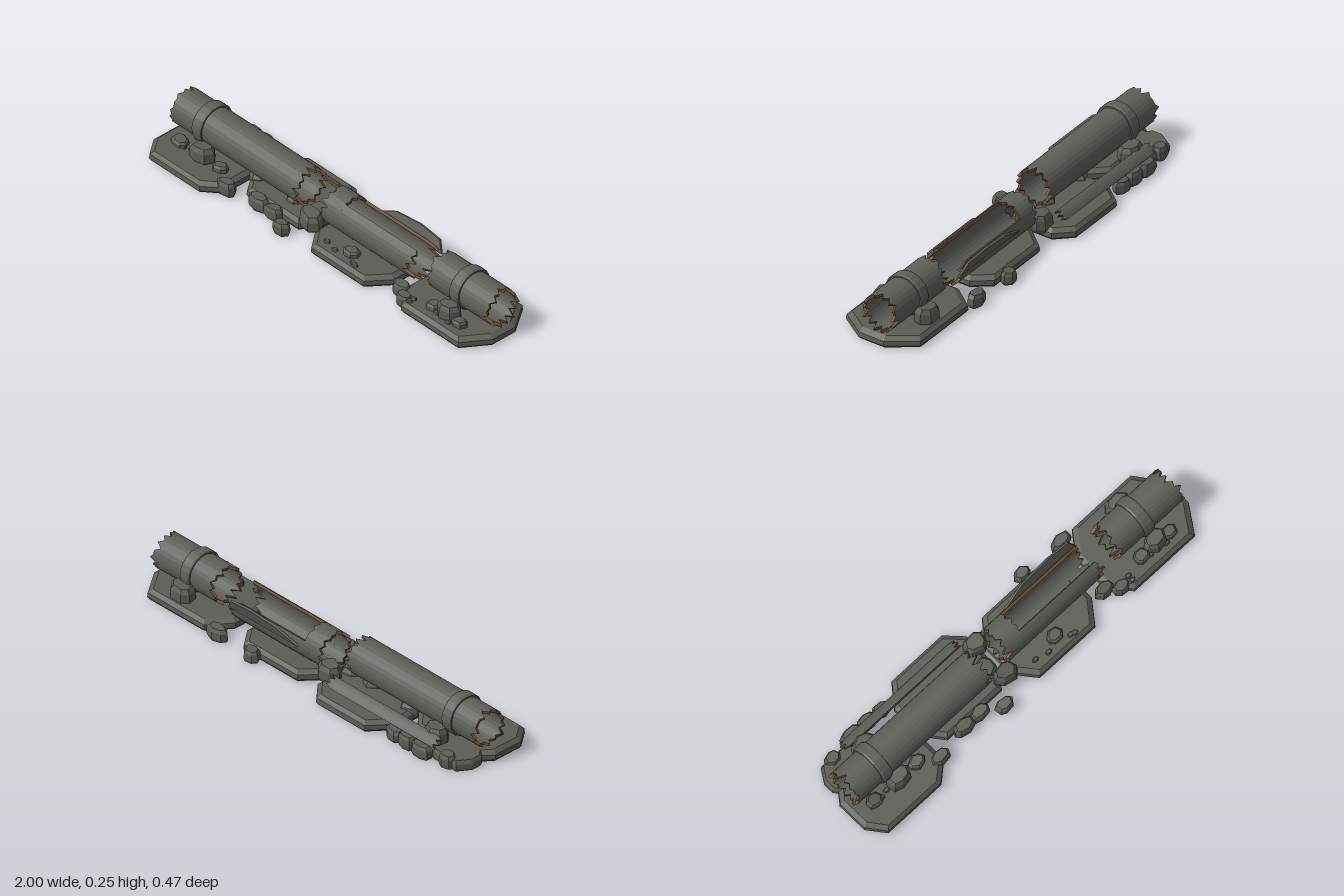
import * as THREE from 'three';

const stone = new THREE.MeshStandardMaterial({ color: 0x5a5e56, flatShading: true });
stone.name = 'greyStone';
const metal = new THREE.MeshStandardMaterial({ color: 0x5c6058, flatShading: true });
metal.name = 'greyMetal';
const rust = new THREE.MeshStandardMaterial({ color: 0x70492e, flatShading: true });
rust.name = 'rustBrown';

let seed = 7;
const rand = () => (seed = (seed * 16807) % 2147483647) / 2147483647;

function meshFrom(pos, material, name) {
  const g = new THREE.BufferGeometry();
  g.setAttribute('position', new THREE.Float32BufferAttribute(pos, 3));
  g.computeVertexNormals();
  const m = new THREE.Mesh(g, material);
  m.name = name;
  return m;
}
const quad = (out, a, b, c, d) => out.push(...a, ...b, ...c, ...a, ...c, ...d);

// Bevelled block: an outline of [x, z] points lofted through [y, scale] levels
function block(name, outline, levels, tilt = 0) {
  const n = outline.length, out = [];
  const cx = outline.reduce((s, p) => s + p[0], 0) / n;
  const cz = outline.reduce((s, p) => s + p[1], 0) / n;
  const rings = levels.map(([y, s], k) => outline.map(([x, z]) => [
    cx + (x - cx) * s, y + (k ? tilt * (x - cx + z - cz) : 0), cz + (z - cz) * s]));
  const top = rings.length - 1;
  for (let i = 0; i < n; i++) {
    const j = (i + 1) % n;
    for (let k = 0; k < top; k++) quad(out, rings[k][i], rings[k + 1][i], rings[k + 1][j], rings[k][j]);
    out.push(cx, levels[top][0], cz, ...rings[top][j], ...rings[top][i]);
    out.push(cx, levels[0][0], cz, ...rings[0][i], ...rings[0][j]);
  }
  return meshFrom(out, stone, name);
}

// Foundation slab: rectangle with unevenly cut corners
function slab(x0, x1, z0, z1, cut) {
  const outline = [];
  for (const [x, z, sx, sz] of [[x1, z1, -1, -1], [x0, z1, 1, -1], [x0, z0, 1, 1], [x1, z0, -1, 1]]) {
    const a = [x, z + sz * cut * (0.9 + rand() * 0.4)];
    const b = [x + sx * cut * (0.7 + rand() * 0.4), z];
    outline.push(...(sx === sz ? [a, b] : [b, a]));
  }
  return block('foundationSlab', outline, [[0, 0.96], [0.012, 1], [0.034, 0.99], [0.05, 0.9]]);
}

// Irregular loose stone
function rock(x, z, w, d, y0, y1) {
  const outline = [], turn = rand();
  for (let i = 0; i < 7; i++) {
    const a = (i + turn + (rand() - 0.5) * 0.4) / 7 * Math.PI * 2;
    const r = 1 + rand() * 0.2;
    outline.push([x + Math.cos(a) * w / 2 * r, z + Math.sin(a) * d / 2 * r]);
  }
  const h = y1 - y0;
  return block('looseStone', outline,
    [[y0, 0.85], [y0 + h * 0.25, 1], [y0 + h * 0.75, 0.95], [y1, 0.72]], (rand() - 0.5) * 0.2);
}

// Tube wall along x with jagged, rusty ends; an arc below a full turn leaves it open
function brokenPipe(name, { x0, x1, y, z, r, wall = 0.013, from = 0, arc = Math.PI * 2, n = 28, jag0 = 0.05, jag1 = 0.05 }) {
  const skin = [], rim = [], cols = [], full = arc > 6.28;
  for (let i = 0; i <= n; i++) {
    const t = from + arc * i / n;
    const shallow = rand() * 0.45, deep = 0.4 + rand() * 0.6;
    const a = x0 + jag0 * (i % 2 ? deep : shallow);
    const b = x1 - jag1 * (i % 2 ? shallow : deep);
    const at = (x, q) => [x, y + q * Math.cos(t), z + q * Math.sin(t)];
    cols.push({ oa: at(a, r), ob: at(b, r), ia: at(a, r - wall), ib: at(b, r - wall) });
  }
  if (full) cols[n] = cols[0];
  for (let i = 0; i < n; i++) {
    const p = cols[i], q = cols[i + 1];
    quad(skin, p.oa, q.oa, q.ob, p.ob);
    quad(skin, p.ia, p.ib, q.ib, q.ia);
    quad(rim, p.ob, q.ob, q.ib, p.ib);
    quad(rim, p.oa, p.ia, q.ia, q.oa);
  }
  if (!full) {
    const s = cols[0], e = cols[n];
    quad(rim, s.oa, s.ob, s.ib, s.ia);
    quad(rim, e.oa, e.ia, e.ib, e.ob);
  }
  const g = new THREE.Group();
  g.name = name;
  g.add(meshFrom(skin, metal, name + 'Wall'), meshFrom(rim, rust, name + 'BrokenEdge'));
  return g;
}

export function createModel() {
  seed = 7;
  const model = new THREE.Group();
  model.name = 'brokenPipeline';

  // Foundation slabs, the left one with a small extra piece behind it
  model.add(
    slab(-1, -0.54, -0.09, 0.235, 0.08), slab(-0.98, -0.75, -0.17, 0, 0.05),
    slab(-0.54, -0.09, -0.24, 0.11, 0.08),
    slab(-0.07, 0.41, -0.18, 0.18, 0.08), slab(0.48, 1, -0.2, 0.18, 0.1));

  // Left and right pipe sections with their collars
  const left = { y: 0.154, z: 0, r: 0.086 }, right = { y: 0.14, z: -0.027, r: 0.086 };
  model.add(brokenPipe('leftEndPipe', { x0: -0.985, x1: -0.17, ...left }));
  model.add(brokenPipe('rightEndPipe', { x0: 0.58, x1: 0.985, ...right }));
  const profile = [[0.084, -0.028], [0.093, -0.028], [0.097, -0.02], [0.097, 0.02], [0.093, 0.028], [0.084, 0.028]]
    .map(p => new THREE.Vector2(...p));
  for (const [x, p] of [[-0.8, left], [0.765, right]]) {
    const collar = new THREE.Mesh(new THREE.LatheGeometry(profile, 20), metal);
    collar.name = 'pipeCollar';
    collar.rotation.z = Math.PI / 2;
    collar.position.set(x, p.y, p.z);
    model.add(collar);
  }

  // Middle section: short whole end, then a trough torn open along the top
  const mid = { y: 0.122, z: -0.025, r: 0.087 };
  model.add(brokenPipe('middlePipeEnd', { x0: -0.08, x1: 0.055, jag1: 0.02, ...mid }));
  model.add(brokenPipe('middlePipeTrough', {
    x0: 0.02, x1: 0.52, jag0: 0, jag1: 0.09, from: 0.5, arc: 4.65, n: 22, ...mid }));

  // Torn flap bent outward behind the trough
  const flapShape = new THREE.Shape([[0.08, 0], [0.5, 0], [0.47, 0.055], [0.35, 0.068], [0.2, 0.055]]
    .map(p => new THREE.Vector2(...p)));
  const flap = new THREE.Mesh(new THREE.ExtrudeGeometry(flapShape, { depth: 0.01, bevelEnabled: false }), metal);
  flap.name = 'tornFlap';
  flap.position.set(0, 0.12, -0.118);
  flap.rotation.x = -0.35;
  model.add(flap);

  // Long curved shard lying at the back
  model.add(brokenPipe('fallenPipeShard', {
    x0: -0.84, x1: -0.14, y: 0.015, z: -0.11, r: 0.09, from: -0.95, arc: 0.65, n: 5 }));

  // Boulders wedged against both sides of the pipes
  for (const [x, front, back] of [[-0.75, 0.1, -0.1], [-0.1, 0.08, -0.1], [0.765, 0.09, -0.13]])
    for (const z of [front, back]) model.add(rock(x, z, 0.11, 0.085, 0.035, 0.115));

  // Stones bedded under the pipes
  for (const x of [-0.5, -0.27, -0.14]) model.add(rock(x, 0, 0.09, 0.1, 0.01, 0.075));

  // Rubble on the ground along the slab edges
  const rubble = [[-0.19, 0.17], [-0.29, 0.12], [-0.38, 0.12], [-0.55, 0.15], [0.47, 0.09], [0.53, 0.13],
    [-0.88, -0.16], [-0.75, -0.185], [-0.66, -0.18], [-0.58, -0.18], [0.27, -0.2], [0.49, -0.19]];
  for (const [x, z] of rubble) model.add(rock(x, z, 0.075 + rand() * 0.03, 0.06, 0, 0.055 + rand() * 0.01));

  // Stones and small chips lying on the slabs
  for (const x of [-0.89, -0.64, 0.17, 0.68, 0.84]) model.add(rock(x, 0.1, 0.075, 0.06, 0.04, 0.075));
  for (let i = 0; i < 12; i++) {
    const x = [-0.78, 0.17, 0.72][i % 3] + (rand() - 0.5) * 0.3;
    model.add(rock(x, 0.1 + rand() * 0.05, 0.03, 0.02, 0.045, 0.06));
  }
  return model;
}
